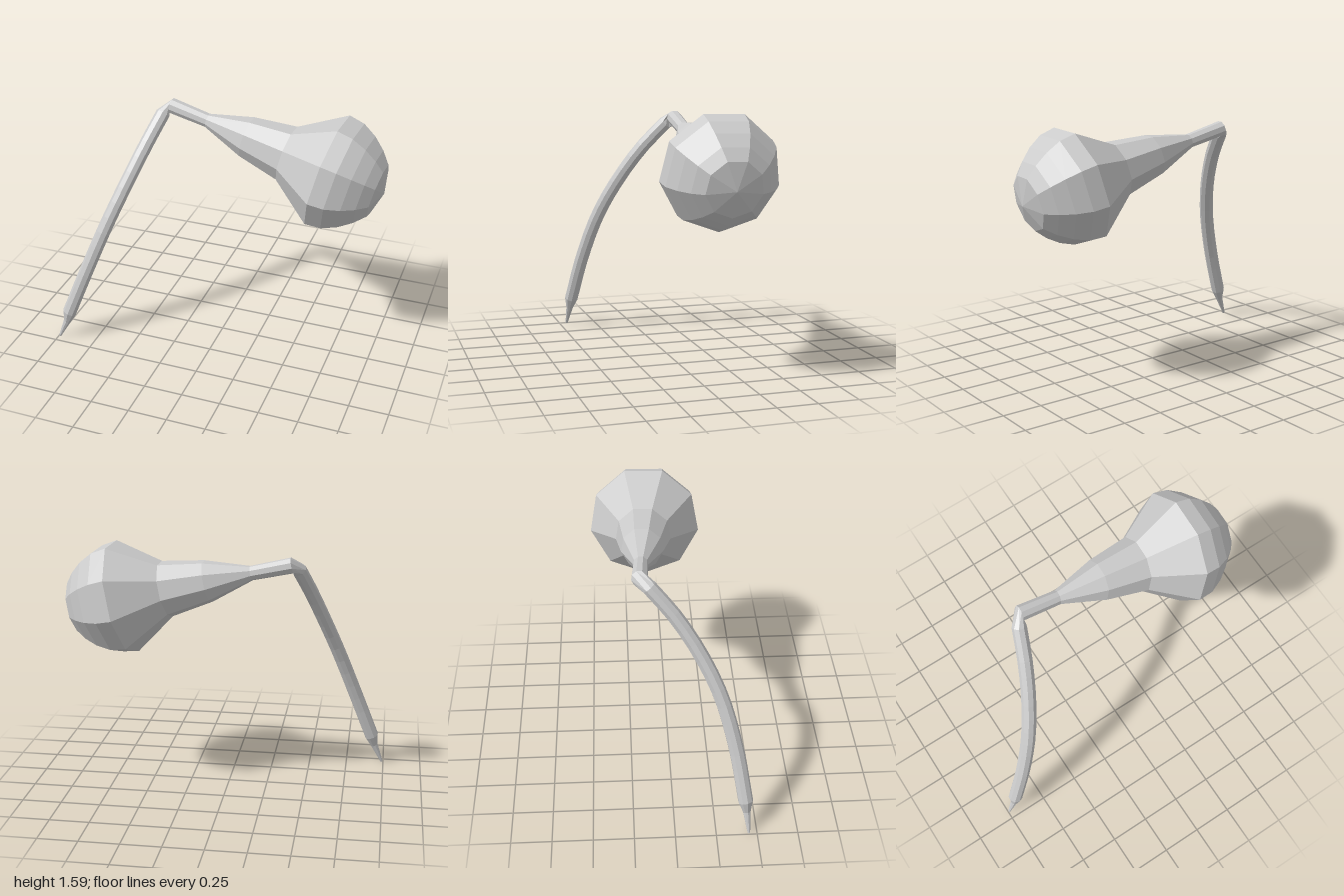
import * as THREE from 'three';

const SIDES = 9;
const V = (x, y, z) => new THREE.Vector3(x, y, z);

// Skin over rings { c: centre, t: direction, r: radius }, carrying the normal along without twist
function loft(name, rings, startNormal) {
  const pos = [], index = [];
  const n = startNormal.clone();
  let prev = rings[0].t;
  for (const { c, t, r } of rings) {
    n.applyQuaternion(new THREE.Quaternion().setFromUnitVectors(prev, t));
    n.addScaledVector(t, -n.dot(t)).normalize();
    prev = t;
    const b = t.clone().cross(n);
    for (let j = 0; j < SIDES; j++) {
      const a = (j / SIDES) * Math.PI * 2;
      const p = c.clone().addScaledVector(n, r * Math.cos(a)).addScaledVector(b, r * Math.sin(a));
      pos.push(p.x, p.y, p.z);
    }
  }
  for (let i = 0; i < rings.length - 1; i++) {
    for (let j = 0; j < SIDES; j++) {
      const k = (j + 1) % SIDES, a = i * SIDES, b = a + SIDES;
      index.push(a + j, a + k, b + j, a + k, b + k, b + j);
    }
  }
  const geo = new THREE.BufferGeometry();
  geo.setAttribute('position', new THREE.Float32BufferAttribute(pos, 3));
  geo.setIndex(index);
  geo.computeVertexNormals();
  const mesh = new THREE.Mesh(geo, new THREE.MeshStandardMaterial({
    color: 0xcccccc, flatShading: true, side: THREE.DoubleSide,
  }));
  mesh.name = name;
  return mesh;
}

export function createModel() {
  const group = new THREE.Group();
  group.name = 'bentClub';

  // Bulbous head: [distance along axis from widest ring, radius], dome to neck
  const axis = V(0.972, -0.229, 0.055).normalize();
  const back = axis.clone().negate();
  const centre = V(0.642, 1.255, -0.12);
  const down = V(-0.229, -0.973, 0);
  const profile = [
    [0.367, 0.0005], [0.325, 0.172], [0.265, 0.24], [0.19, 0.3], [0.1, 0.346], [0, 0.36],
    [-0.275, 0.177], [-0.547, 0.131], [-0.823, 0.045], [-1.08, 0.049],
  ];
  const head = profile.map(([s, r]) => ({ c: centre.clone().addScaledVector(axis, s), t: back, r }));
  group.add(loft('head', head, down));

  // Curved handle, starting on the neck ring so the elbow closes
  const curve = new THREE.CatmullRomCurve3([
    V(-0.443, 1.465, -0.125), V(-0.505, 1.3, 0.02), V(-0.586, 1.08, 0.165),
    V(-0.68, 0.83, 0.285), V(-0.795, 0.52, 0.373), V(-0.915, 0.2, 0.43),
  ]);
  const handle = [head[head.length - 1]];
  const steps = 14;
  for (let i = 0; i <= steps; i++) {
    handle.push({ c: curve.getPointAt(i / steps), t: curve.getTangentAt(i / steps), r: 0.046 });
  }
  group.add(loft('handle', handle, down));

  // Pointed tip
  const end = handle[handle.length - 1];
  const n = down.clone();
  for (let i = 1; i < handle.length; i++) {
    n.applyQuaternion(new THREE.Quaternion().setFromUnitVectors(handle[i - 1].t, handle[i].t));
  }
  const tipDir = V(-0.42, -0.9, 0.1).normalize();
  group.add(loft('tip', [
    end,
    { c: V(-0.935, 0.13, 0.438), t: tipDir, r: 0.024 },
    { c: V(-0.991, 0.004, 0.45), t: tipDir, r: 0.008 },
    { c: V(-0.991, 0.004, 0.45), t: tipDir, r: 0.0002 },
  ], n));

  return group;
}
